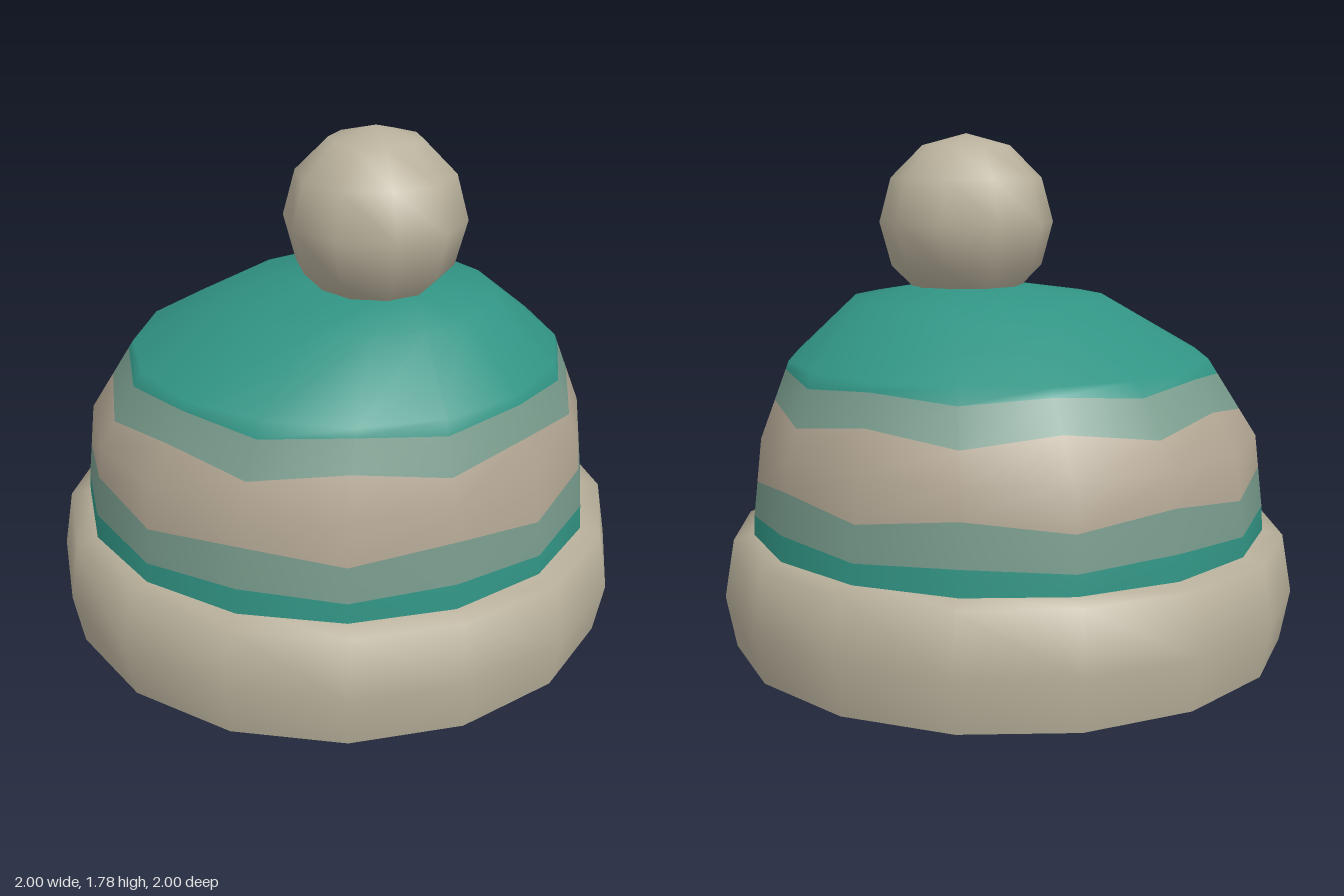
import * as THREE from 'three';

const SIDES = 16;

const mat = (name, color, extra = {}) => {
  const m = new THREE.MeshStandardMaterial({ color, ...extra });
  m.name = name;
  return m;
};

// Crown outline from the brim up: height, radius and sideways lean
const OUTLINE = [
  [0.40, 0.897, 0], [0.45, 0.897, 0], [0.75, 0.863, 0], [1.01, 0.733, 0.04],
  [1.21, 0.45, 0.12], [1.25, 0.19, 0.15], [1.252, 0, 0.16],
];

function outlineAt(y) {
  let i = 0;
  while (i < OUTLINE.length - 2 && y > OUTLINE[i + 1][0]) i++;
  const [y0, r0, c0] = OUTLINE[i], [y1, r1, c1] = OUTLINE[i + 1];
  const t = (y - y0) / (y1 - y0);
  return [r0 + (r1 - r0) * t, c0 + (c1 - c0) * t];
}

// Rings of the crown: height at even and odd corners, material of the band above
const TEAL = 0, SAGE = 1, SAND = 2;
const RINGS = [
  [0.40, 0.40, TEAL], [0.482, 0.50, SAGE], [0.60, 0.64, SAND], [0.75, 0.75, SAND],
  [0.88, 0.84, SAGE], [0.982, 0.96, TEAL], [1.01, 1.01, TEAL], [1.21, 1.21, TEAL],
  [1.25, 1.25, TEAL], [1.252, 1.252, TEAL],
];

function crownGeometry() {
  const pos = [], index = [];
  const geo = new THREE.BufferGeometry();
  RINGS.forEach(([even, odd, band], i) => {
    for (let j = 0; j < SIDES; j++) {
      const y = j % 2 ? odd : even;
      const [r, lean] = outlineAt(y);
      const a = (j / SIDES) * Math.PI * 2;
      pos.push(lean + r * Math.sin(a), y, r * Math.cos(a));
    }
    if (i === RINGS.length - 1) return;
    geo.addGroup(index.length, SIDES * 6, band);
    for (let j = 0; j < SIDES; j++) {
      const a = i * SIDES + j, b = i * SIDES + (j + 1) % SIDES;
      index.push(a, b, b + SIDES, a, b + SIDES, a + SIDES);
    }
  });
  geo.setAttribute('position', new THREE.Float32BufferAttribute(pos, 3));
  geo.setIndex(index);
  geo.computeVertexNormals();
  return geo;
}

const lathe = (points) =>
  new THREE.LatheGeometry(points.map(([r, y]) => new THREE.Vector2(r, y)), SIDES);

export function createModel() {
  const group = new THREE.Group();
  const wool = mat('cream wool', 0xb8b09b);
  const crownMats = [
    mat('teal knit', 0x319484),
    mat('sage stripe', 0x789b8c),
    mat('sand stripe', 0xb2a693),
  ];

  const add = (name, geo, material) => {
    const mesh = new THREE.Mesh(geo, material);
    mesh.name = name;
    group.add(mesh);
    return mesh;
  };

  // Folded brim, with a sharp edge to its closed underside
  add('brim', lathe([[0.966, 0.02], [1, 0.2], [0.966, 0.4], [0.87, 0.42]]), wool);
  add('brimUnderside', lathe([[0, 0], [0.83, 0], [0.966, 0.02]]), wool);

  // Striped crown leaning to one side
  add('crown', crownGeometry(), crownMats);

  // Bobble on top
  add('pompom', new THREE.SphereGeometry(0.306, 10, 6), wool).position.set(0.172, 1.47, 0);

  return group;
}
